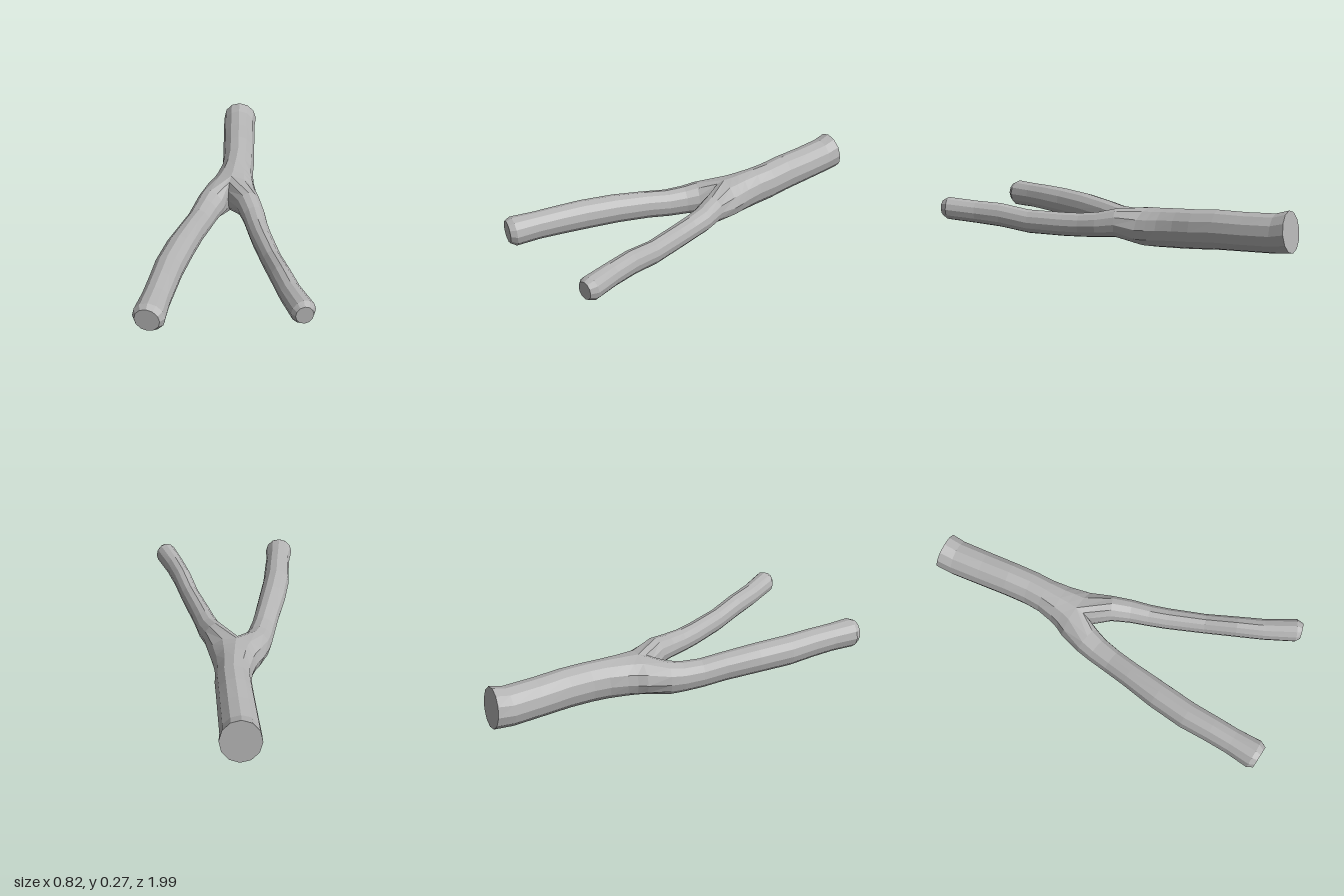
import * as THREE from 'three';

const SIDES = 12;

// One ring per section [x, y, z, half width, half height, top lean in z]
function makeRings(sections) {
  return sections.map(([x, y, z, rw, rh, lean = 0], i) => {
    const a = sections[Math.max(i - 1, 0)];
    const b = sections[Math.min(i + 1, sections.length - 1)];
    const t = new THREE.Vector2(b[0] - a[0], b[2] - a[2]).normalize();
    return Array.from({ length: SIDES }, (_, k) => {
      const angle = (k / SIDES) * Math.PI * 2;
      const s = Math.sin(angle) * rw;
      const c = Math.cos(angle);
      return new THREE.Vector3(x + t.y * s, y + c * rh, z - t.x * s + lean * c);
    });
  });
}

// Skin neighbouring rings with quads
function skin(rings) {
  const pts = [];
  for (let i = 0; i < rings.length - 1; i++) {
    for (let k = 0; k < SIDES; k++) {
      const n = (k + 1) % SIDES;
      const a = rings[i][k], b = rings[i][n], c = rings[i + 1][n], d = rings[i + 1][k];
      pts.push(a, d, c, a, c, b);
    }
  }
  return pts;
}

// Close a ring with a fan
function cap(ring, front) {
  const centre = ring.reduce((s, p) => s.add(p), new THREE.Vector3()).divideScalar(SIDES);
  return ring.flatMap((p, k) => {
    const q = ring[(k + 1) % SIDES];
    return front ? [centre, q, p] : [centre, p, q];
  });
}

function addMesh(group, name, points, material) {
  const geometry = new THREE.BufferGeometry().setFromPoints(points);
  geometry.computeVertexNormals();
  const mesh = new THREE.Mesh(geometry, material);
  mesh.name = name;
  group.add(mesh);
}

export function createModel() {
  const group = new THREE.Group();
  group.name = 'forkedBranch';
  const wood = new THREE.MeshStandardMaterial({ color: 0xb4b4b4, flatShading: true });
  wood.name = 'greyWood';

  // Thick stem, widening toward the fork
  const stem = makeRings([
    [-0.315, 0.165, -0.98, 0.097, 0.104, 0.015],
    [-0.305, 0.148, -0.9, 0.094, 0.1],
    [-0.275, 0.14, -0.75, 0.092, 0.1],
    [-0.245, 0.135, -0.6, 0.09, 0.103],
    [-0.222, 0.124, -0.48, 0.09, 0.104],
    [-0.213, 0.117, -0.39, 0.092, 0.105],
    [-0.207, 0.11, -0.3, 0.108, 0.105],
    [-0.203, 0.106, -0.25, 0.123, 0.105],
    [-0.203, 0.104, -0.2, 0.142, 0.104],
  ]);
  const fork = stem[stem.length - 1];

  // Saddle arc joining the fork's top and bottom through the crotch
  const top = fork[0], bottom = fork[SIDES / 2];
  const saddle = [1, 2, 3, 4, 5].map((j) => {
    const angle = (j * Math.PI) / 6;
    const p = top.clone().lerp(bottom, (1 - Math.cos(angle)) / 2);
    p.z += 0.085 * Math.sin(angle);
    return p;
  });
  const thickStart = [...fork.slice(0, 1), ...saddle, ...fork.slice(6)];
  const thinStart = [...fork.slice(0, 7), ...saddle.slice().reverse()];

  // Thick limb
  const thick = [thickStart, ...makeRings([
    [-0.291, 0.092, -0.07, 0.077, 0.088],
    [-0.303, 0.088, 0, 0.071, 0.08],
    [-0.312, 0.09, 0.1, 0.067, 0.076],
    [-0.322, 0.106, 0.22, 0.067, 0.076],
    [-0.336, 0.122, 0.4, 0.073, 0.078],
    [-0.343, 0.13, 0.58, 0.073, 0.08],
    [-0.336, 0.138, 0.72, 0.07, 0.077],
    [-0.332, 0.142, 0.84, 0.069, 0.074],
    [-0.328, 0.144, 0.965, 0.077, 0.077],
    [-0.328, 0.148, 0.995, 0.06, 0.06],
  ])];

  // Thin limb
  const thin = [thinStart, ...makeRings([
    [-0.078, 0.123, -0.06, 0.066, 0.077],
    [-0.03, 0.108, 0.03, 0.061, 0.068],
    [0.006, 0.1, 0.12, 0.056, 0.065],
    [0.045, 0.098, 0.21, 0.054, 0.065],
    [0.13, 0.102, 0.39, 0.05, 0.065],
    [0.2, 0.128, 0.54, 0.052, 0.066],
    [0.265, 0.138, 0.67, 0.054, 0.063],
    [0.348, 0.153, 0.81, 0.06, 0.063],
    [0.358, 0.155, 0.838, 0.042, 0.047],
  ])];

  addMesh(group, 'stem', skin(stem), wood);
  addMesh(group, 'stemEnd', cap(stem[0], false), wood);
  for (const [name, rings] of [['thickLimb', thick], ['thinLimb', thin]]) {
    addMesh(group, name, skin(rings), wood);
    addMesh(group, name + 'End', cap(rings[rings.length - 1], true), wood);
  }
  return group;
}
